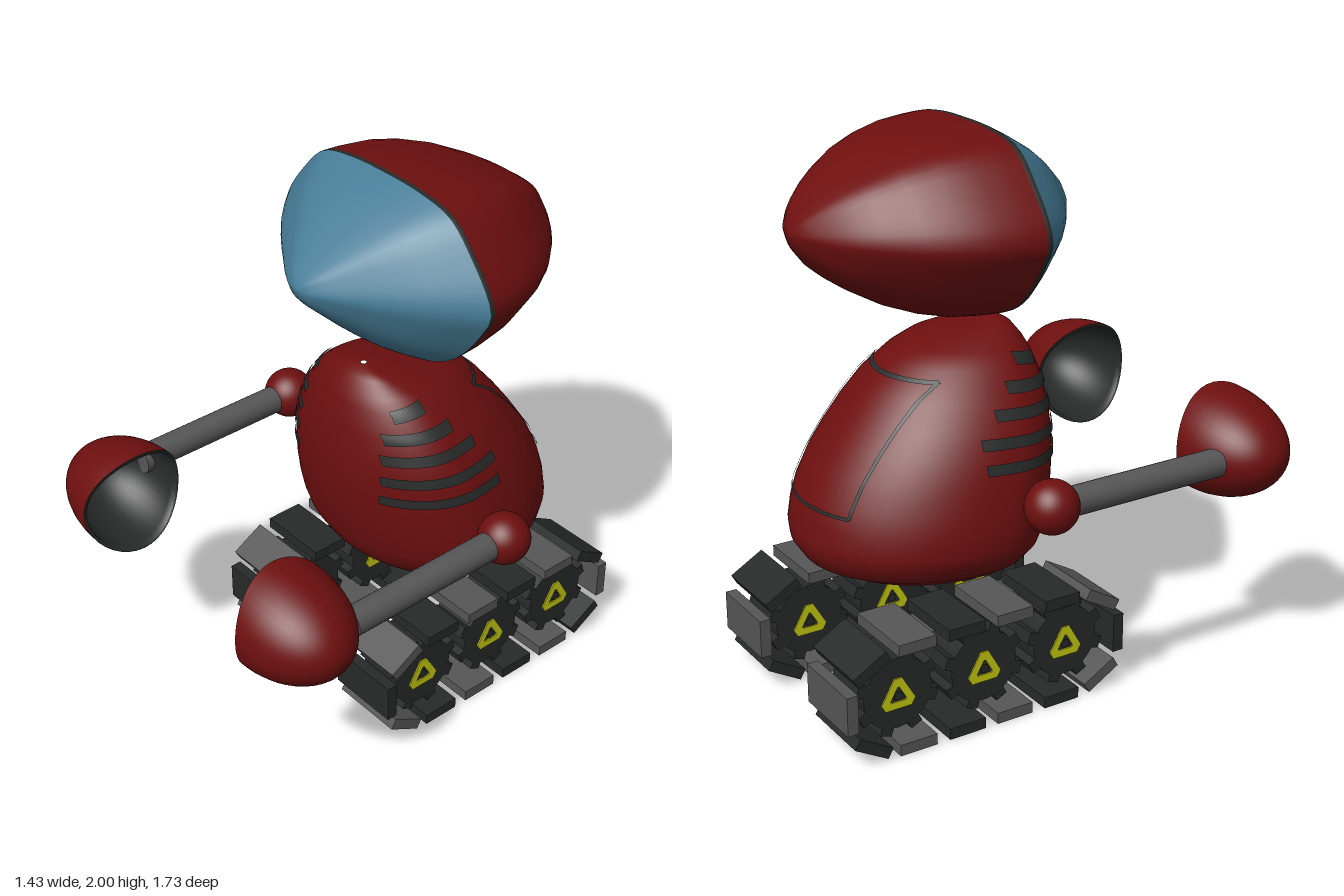
import * as THREE from 'three';

const mat = (name, color, side = THREE.FrontSide) => {
  const m = new THREE.MeshStandardMaterial({ color, side });
  m.name = name;
  return m;
};

// Surface through rows of points; wrap closes each row into a ring
function loft(rows, wrap = true) {
  const n = rows[0].length, pos = rows.flat(2), idx = [];
  for (let j = 0; j < rows.length - 1; j++) {
    for (let i = 0; i < (wrap ? n : n - 1); i++) {
      const k = (i + 1) % n, a = j * n, b = a + n;
      idx.push(a + i, a + k, b + k, a + i, b + k, b + i);
    }
  }
  const g = new THREE.BufferGeometry();
  g.setAttribute('position', new THREE.Float32BufferAttribute(pos, 3));
  g.setIndex(idx);
  g.computeVertexNormals();
  return g;
}

const steps = (n, fn) => Array.from({ length: n + 1 }, (_, i) => fn(i / n));
const ring = (n, fn) => Array.from({ length: n }, (_, i) => fn((i / n) * Math.PI * 2));

// Torso rows: height, half width, front z, back z
const TORSO = [
  [0.46, 0.01, -0.29, -0.31], [0.462, 0.12, -0.14, -0.46], [0.47, 0.2, -0.1, -0.53],
  [0.5, 0.32, -0.02, -0.65], [0.55, 0.4, 0.03, -0.745], [0.6, 0.445, 0.06, -0.778],
  [0.65, 0.462, 0.075, -0.783], [0.72, 0.46, 0.092, -0.772], [0.79, 0.45, 0.105, -0.75],
  [0.88, 0.432, 0.115, -0.705], [0.96, 0.41, 0.117, -0.65], [1.04, 0.377, 0.113, -0.59],
  [1.13, 0.325, 0.1, -0.515], [1.21, 0.258, 0.075, -0.42], [1.25, 0.21, 0.055, -0.35],
  [1.29, 0.13, 0.025, -0.18], [1.305, 0.08, 0.0, -0.09], [1.31, 0.01, -0.025, -0.045],
];

function torsoRow(y) {
  let i = 0;
  while (i < TORSO.length - 2 && TORSO[i + 1][0] < y) i++;
  const a = TORSO[i], b = TORSO[i + 1], f = (y - a[0]) / (b[0] - a[0]);
  const [w, zf, zb] = [1, 2, 3].map(k => a[k] + (b[k] - a[k]) * f);
  return { w, zf, zb, zc: zf + (zb - zf) * 0.38 };
}

// Point on the torso at height y and angle t (0 is front, a quarter turn is +x)
function torsoPoint(y, t, lift = 0) {
  const { w, zf, zb, zc } = torsoRow(y), c = Math.cos(t);
  const depth = c > 0 ? zf - zc : zc - zb;
  return [Math.sin(t) * (w + lift), y + lift * 0.3, zc + c * (depth + lift)];
}

function angleAtZ(y, z) {
  const { zf, zb, zc } = torsoRow(y);
  const c = z > zc ? (z - zc) / (zf - zc) : (z - zc) / (zc - zb);
  return Math.acos(THREE.MathUtils.clamp(c, -1, 1));
}

// Thin painted patch lying on the torso
const patch = (nu, nv, yFn, tFn) =>
  loft(steps(nv, v => steps(nu, u => {
    const y = yFn(u, v);
    return torsoPoint(y, tFn(y, u), 0.006);
  })), false);

// Head outline, half, relative to its centre
const half = [[0, 0.3], [0.17, 0.293], [0.31, 0.262], [0.4, 0.18], [0.515, 0],
  [0.47, -0.1], [0.35, -0.245], [0.19, -0.322], [0, -0.34]];
const outline = new THREE.CatmullRomCurve3(
  [...half, ...half.slice(1, -1).reverse().map(([x, y]) => [-x, y])]
    .reverse().map(([x, y]) => new THREE.Vector3(x, y, 0)), true);
const outlinePts = outline.getSpacedPoints(64).slice(0, 64);
const headLoft = rows =>
  loft(rows.map(([z, s]) => outlinePts.map(p => [p.x * s, 1.7 + p.y * s, z])));

export function createModel() {
  const red = mat('darkRed', 0x6e0f0f);
  const blue = mat('visorBlue', 0x467c96);
  const grey = mat('metalGrey', 0x565656);
  const dark = mat('darkGrey', 0x282a2a, THREE.DoubleSide);
  const yellow = mat('yellow', 0xc8cc10);

  const model = new THREE.Group();
  model.name = 'trackedRobot';
  const add = (parent, name, geo, material, x = 0, y = 0, z = 0) => {
    const m = new THREE.Mesh(geo, material);
    m.name = name;
    m.position.set(x, y, z);
    parent.add(m);
    return m;
  };

  // Head: red back shell, dark seam, blue visor
  add(model, 'headShell', headLoft([[-0.78, 0.002], [-0.772, 0.1], [-0.75, 0.21], [-0.7, 0.38],
    [-0.65, 0.5], [-0.6, 0.6], [-0.5, 0.765], [-0.4, 0.88], [-0.3, 0.955], [-0.2, 0.99], [-0.14, 1]]), red);
  add(model, 'headSeam', headLoft([[-0.141, 0.99], [-0.14, 1], [-0.122, 1], [-0.121, 0.985]]), dark);
  add(model, 'visor', headLoft([[-0.122, 1], [-0.06, 0.89], [0, 0.77], [0.05, 0.65], [0.1, 0.52],
    [0.15, 0.38], [0.2, 0.24], [0.23, 0.14], [0.245, 0.07], [0.25, 0.002]]), blue);

  // Torso
  add(model, 'torso', loft(TORSO.map(([y]) => ring(72, t => torsoPoint(y, t)))), red);

  // Side vents: height, front z, back z
  const vents = [[1.215, 0.01, -0.09], [1.143, 0.05, -0.16], [1.07, 0.065, -0.23],
    [0.99, 0.072, -0.3], [0.912, 0.075, -0.3]];
  for (const side of [1, -1]) {
    for (const [yc, z0, z1] of vents) {
      add(model, 'vent', patch(16, 4,
        (u, v) => yc + (v - 0.5) * 0.036 + ((side > 0 ? u : 1 - u) - 0.5) * 0.025,
        (y, u) => side * THREE.MathUtils.lerp(angleAtZ(y, z0), angleAtZ(y, z1), side > 0 ? u : 1 - u)), dark);
    }
  }

  // Back panel outline
  const backAngle = (y, x) => Math.PI - Math.asin(x / torsoRow(y).w);
  for (const x of [0.2, -0.2]) {
    add(model, 'panelSide', patch(1, 24, (u, v) => 0.77 + v * 0.41,
      (y, u) => backAngle(y, x + (0.5 - u) * 0.012)), dark);
  }
  for (const yc of [0.77, 1.18]) {
    add(model, 'panelEdge', patch(20, 1, (u, v) => yc + (v - 0.5) * 0.012,
      (y, u) => backAngle(y, 0.2 - u * 0.4)), dark);
  }

  // Cupped hand, open towards the body, with a saddle-shaped rim
  const cup = (f, t, r, depth) => {
    const a = f * Math.PI / 2, k = Math.cos(a);
    const rim = 0.375 + 0.055 * Math.sin(t) ** 2;
    return [rim + (depth - rim) * Math.sin(a), Math.cos(t) * r * k, Math.sin(t) * r * k];
  };
  const cupRows = (r, depth) => steps(16, f => ring(40, t => cup(Math.min(f, 0.998), t, r, depth)));
  const outer = cupRows(0.2, 0.717), inner = cupRows(0.188, 0.7).reverse();
  const handShell = loft(outer), handLining = loft([...inner, outer[0]]);

  // Arms
  const ball = new THREE.SphereGeometry(0.093, 32, 20);
  const rod = new THREE.CylinderGeometry(0.051, 0.051, 0.68, 24).rotateX(Math.PI / 2);
  for (const side of [1, -1]) {
    const arm = new THREE.Group();
    arm.name = side > 0 ? 'leftArm' : 'rightArm';
    add(arm, 'shoulder', ball, red, side * 0.585, 0.833, -0.165);
    add(arm, 'armRod', rod, grey, side * 0.585, 0.833, 0.18);
    for (const [name, geo, m] of [['handShell', handShell, red], ['handLining', handLining, dark]]) {
      add(arm, name, geo, m, 0, 0.833, 0.665).rotation.y = side > 0 ? 0 : Math.PI;
    }
    model.add(arm);
  }

  // Triangular ring badge for the wheels
  const triangle = (shape, r, cut) => {
    for (let i = 0; i < 3; i++) {
      for (const d of [-cut, cut]) {
        const a = Math.PI / 2 + i * Math.PI * 2 / 3 + d;
        const p = [Math.cos(a) * r, Math.sin(a) * r];
        if (i === 0 && d < 0) shape.moveTo(...p); else shape.lineTo(...p);
      }
    }
    shape.closePath();
    return shape;
  };
  const badgeShape = triangle(new THREE.Shape(), 0.068, 0.22);
  badgeShape.holes.push(triangle(new THREE.Path(), 0.034, 0.1));
  const badge = new THREE.ExtrudeGeometry(badgeShape, { depth: 0.006, bevelEnabled: false });

  // Tracks: toothed wheels inside a loop of alternating tread plates
  const hub = new THREE.CylinderGeometry(0.13, 0.13, 0.17, 24).rotateZ(Math.PI / 2);
  const tooth = new THREE.BoxGeometry(0.17, 0.05, 0.045);
  const plate = new THREE.BoxGeometry(0.277, 0.041, 0.142);
  const top = [-0.024, -0.217, -0.408, -0.6];
  const loop = [
    [0.215, 0.207, Math.PI / 2], [0.145, 0.354, Math.PI / 6], ...top.map(z => [z, 0.392, 0]),
    [-0.77, 0.354, -Math.PI / 6], [-0.846, 0.207, Math.PI / 2], [-0.77, 0.06, Math.PI / 6],
    ...top.slice().reverse().map(z => [z, 0.021, 0]), [0.145, 0.06, -Math.PI / 6],
  ];
  for (const side of [1, -1]) {
    const track = new THREE.Group();
    track.name = side > 0 ? 'leftTrack' : 'rightTrack';
    track.position.x = side * 0.315;
    loop.forEach(([z, y, tilt], i) => {
      add(track, 'treadPlate', plate, i % 2 ? grey : dark, 0, y, z).rotation.x = tilt;
    });
    for (const z of [0.024, -0.31, -0.648]) {
      const wheel = new THREE.Group();
      wheel.name = 'wheel';
      wheel.position.set(0, 0.207, z);
      add(wheel, 'hub', hub, dark);
      for (let i = 0; i < 8; i++) {
        const a = (i + 0.4) * Math.PI / 4;
        add(wheel, 'tooth', tooth, dark, 0, Math.cos(a) * 0.132, Math.sin(a) * 0.132).rotation.x = a;
      }
      for (const s of [1, -1]) {
        add(wheel, 'badge', badge, yellow, s * 0.084, -0.01, 0).rotation.y = s * Math.PI / 2;
        const pin = new THREE.CylinderGeometry(0.016, 0.016, 0.006, 8).rotateZ(Math.PI / 2);
        add(wheel, 'axlePin', pin, dark, s * 0.087, -0.01, 0);
      }
      track.add(wheel);
    }
    model.add(track);
  }
  return model;
}
